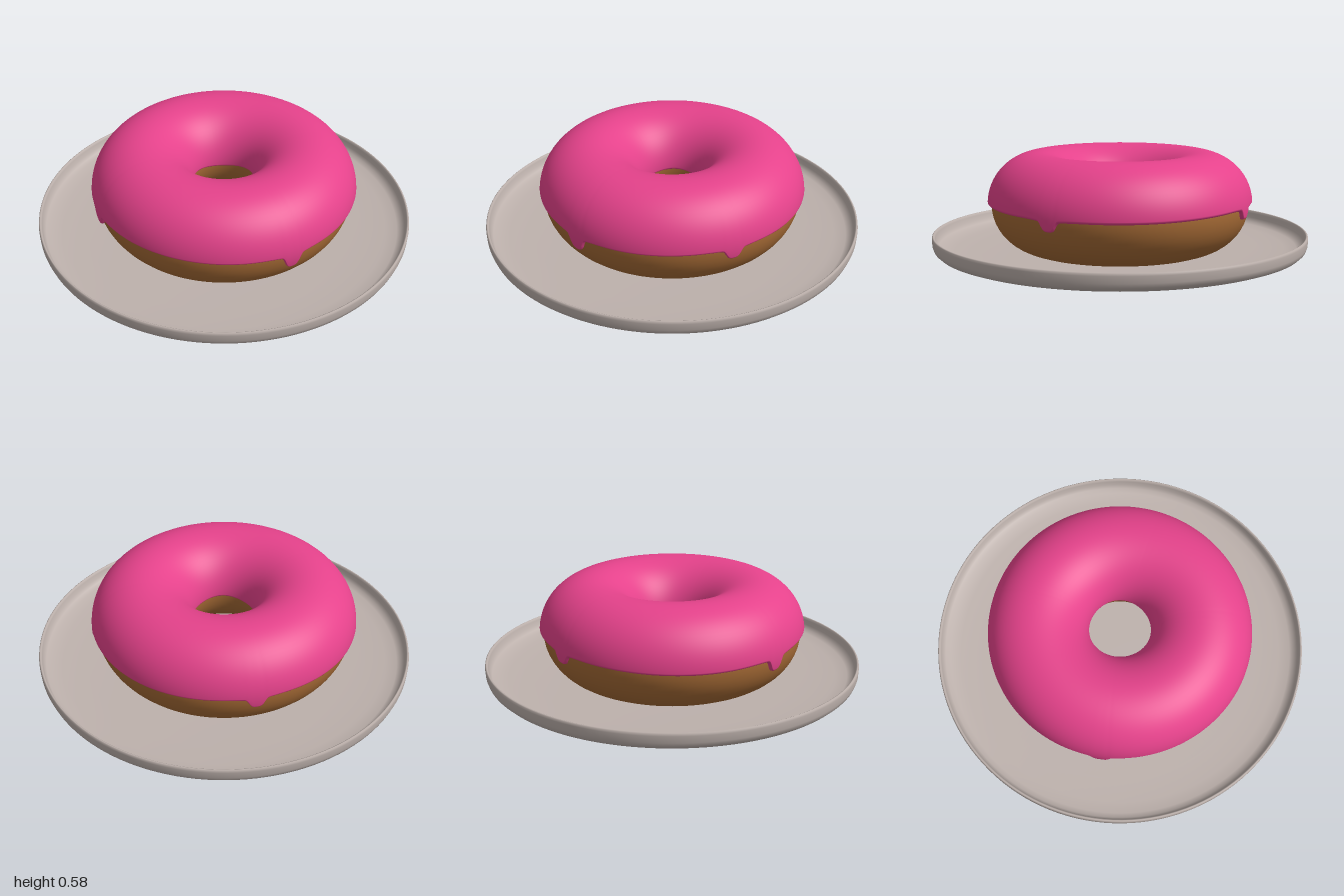
import * as THREE from 'three';

const RING = 0.435, CENTRE_Y = 0.306;   // donut ring radius and height of its core
const DOUGH_R = 0.25, ICING_R = 0.27;   // tube radii

// Drips on the outer edge: angle from +x towards +z (degrees), length
const DRIPS = [[64.5, 0.082], [-3.7, 0.058], [260.5, 0.058], [161, 0.072]];

// Height of the icing's outer edge around the ring
function edgeHeight(t) {
  let y = 0.309 + 0.005 * Math.sin(2 * t - 2.2) + 0.004 * Math.sin(3 * t + 1);
  for (const [deg, length] of DRIPS) {
    const a = t - THREE.MathUtils.degToRad(deg);
    const d = Math.atan2(Math.sin(a), Math.cos(a));
    y -= length * (0.86 * Math.exp(-Math.pow(d / 0.06, 4)) + 0.14 * Math.exp(-Math.pow(d / 0.12, 2)));
  }
  return y;
}

// Icing shell: a cross-section with rounded lips, swept around the ring
function icingGeometry() {
  const around = 480, across = 36, lip = 5, lipAngle = 0.06;
  const positions = [], index = [];
  const rows = across + 2 * lip;
  for (let i = 0; i < around; i++) {
    const t = (i / around) * Math.PI * 2;
    const start = Math.asin((edgeHeight(t) - CENTRE_Y) / ICING_R);
    const end = Math.PI + 0.02 + 0.03 * Math.sin(3 * t);
    for (let j = 0; j <= rows; j++) {
      let phi, r = ICING_R;
      const k = Math.min(j, rows - j);
      if (k < lip) {
        const q = (k / lip) * Math.PI / 2;
        const inset = lipAngle * (1 - Math.cos(q));
        phi = j < lip ? start + inset : end - inset;
        r = 0.246 + (ICING_R - 0.246) * Math.sin(q);
      } else {
        phi = THREE.MathUtils.lerp(start + lipAngle, end - lipAngle, (j - lip) / across);
      }
      const d = RING + r * Math.cos(phi);
      positions.push(d * Math.cos(t), CENTRE_Y + r * Math.sin(phi), d * Math.sin(t));
    }
  }
  const n = rows + 1;
  for (let i = 0; i < around; i++) {
    for (let j = 0; j < rows; j++) {
      const a = i * n + j, b = ((i + 1) % around) * n + j;
      index.push(a, a + 1, b, b, a + 1, b + 1);
    }
  }
  const geometry = new THREE.BufferGeometry();
  geometry.setAttribute('position', new THREE.Float32BufferAttribute(positions, 3));
  geometry.setIndex(index);
  geometry.computeVertexNormals();
  return geometry;
}

// Shallow plate with an upright rounded rim
function plateGeometry() {
  const profile = [
    [0, 0.004], [0.3, 0.008], [0.55, 0.016], [0.75, 0.028], [0.88, 0.043], [0.94, 0.055],
    [0.973, 0.067], [0.99, 0.083], [0.998, 0.105], [1, 0.14], [0.998, 0.151], [0.993, 0.155],
    [0.987, 0.152], [0.983, 0.14], [0.978, 0.115], [0.965, 0.094], [0.94, 0.082],
    [0.88, 0.073], [0.75, 0.066], [0.5, 0.06], [0, 0.058],
  ].map(([x, y]) => new THREE.Vector2(x, y - 0.004));
  return new THREE.LatheGeometry(profile, 128);
}

export function createModel() {
  const material = (name, color) => {
    const m = new THREE.MeshStandardMaterial({ color });
    m.name = name;
    return m;
  };
  const group = new THREE.Group();
  group.name = 'donutOnPlate';
  const add = (name, geometry, mat) => {
    const mesh = new THREE.Mesh(geometry, mat);
    mesh.name = name;
    group.add(mesh);
    return mesh;
  };

  add('plate', plateGeometry(), material('warmGreyCeramic', 0xbdb1ac));

  // Dough ring lying flat
  const dough = new THREE.TorusGeometry(RING, DOUGH_R, 48, 128).rotateX(-Math.PI / 2);
  add('dough', dough.translate(0, CENTRE_Y, 0), material('bakedBrown', 0xa56a35));

  add('icing', icingGeometry(), material('pinkIcing', 0xe5428b));
  return group;
}
